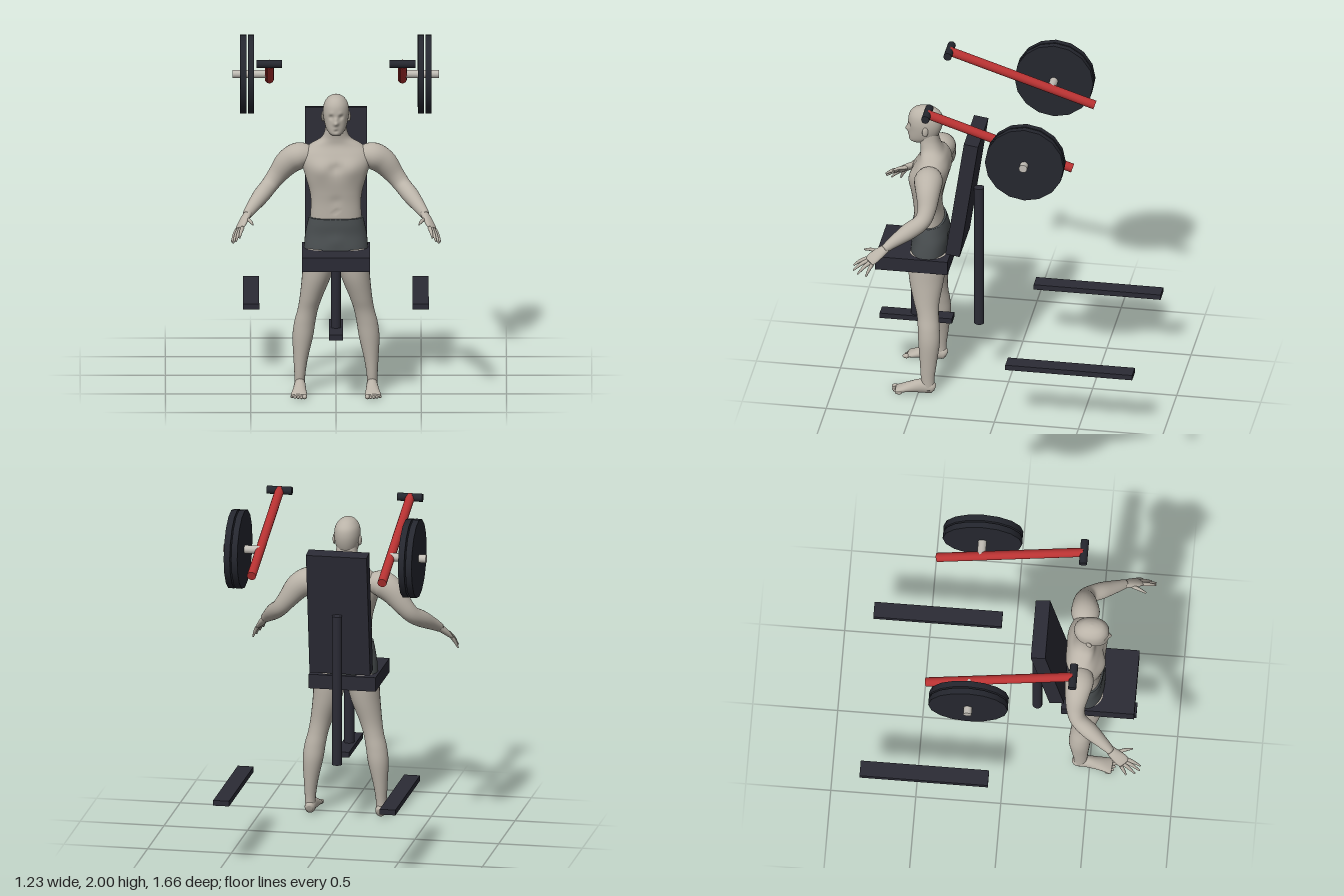
import * as THREE from 'three';

const mat = (name, color, side = THREE.FrontSide) => {
  const m = new THREE.MeshStandardMaterial({ color, side });
  m.name = name;
  return m;
};
const V = (x, y, z) => new THREE.Vector3(x, y, z);

// Catmull-Rom blend of whole rows of numbers
function smoothRows(rows, steps) {
  const out = [], last = rows.length - 1;
  for (let i = 0; i < last; i++) {
    const [a, b, c, d] = [rows[Math.max(i - 1, 0)], rows[i], rows[i + 1], rows[Math.min(i + 2, last)]];
    for (let s = 0; s < steps; s++) {
      const t = s / steps;
      out.push(b.map((p, k) => p + 0.5 * t * (c[k] - a[k]
        + t * (2 * a[k] - 5 * p + 4 * c[k] - d[k] + t * (3 * (p - c[k]) + d[k] - a[k])))));
    }
  }
  out.push(rows[last]);
  return out;
}

// Closed skin over rings of { c: centre, u, v: half-axis vectors }
function skin(rings, sides, power = 2) {
  const pos = [], idx = [], n = rings.length;
  const soft = (w) => Math.sign(w) * Math.abs(w) ** (2 / power);
  for (const { c, u, v } of rings) {
    for (let j = 0; j < sides; j++) {
      const a = (j / sides) * Math.PI * 2;
      const p = c.clone().addScaledVector(u, soft(Math.cos(a))).addScaledVector(v, soft(Math.sin(a)));
      pos.push(p.x, p.y, p.z);
    }
  }
  for (const r of [rings[0], rings[n - 1]]) pos.push(r.c.x, r.c.y, r.c.z);
  for (let j = 0; j < sides; j++) {
    const k = (j + 1) % sides, top = (n - 1) * sides;
    for (let i = 0; i < n - 1; i++) {
      const a = i * sides + j, b = i * sides + k;
      idx.push(a, a + sides, b, b, a + sides, b + sides);
    }
    idx.push(n * sides, j, k, n * sides + 1, top + k, top + j);
  }
  const g = new THREE.BufferGeometry();
  g.setAttribute('position', new THREE.Float32BufferAttribute(pos, 3));
  g.setIndex(idx);
  g.computeVertexNormals();
  return g;
}

// Level sections, bottom to top: [y, centre x, half width, back z, front z]
const stack = (rows, sides, power, steps = 6) => skin(smoothRows(rows, steps).map(
  ([y, x, w, zb, zf]) => ({ c: V(x, y, (zb + zf) / 2), u: V(w, 0, 0), v: V(0, 0, (zf - zb) / 2) })), sides, power);

// Sections across a path: [x, y, z, radius along ref, other radius]
function limb(rows, ref, sides = 20, steps = 5) {
  const pts = smoothRows(rows, steps);
  return skin(pts.map((r, i) => {
    const a = pts[Math.max(i - 1, 0)], b = pts[Math.min(i + 1, pts.length - 1)];
    const t = V(b[0] - a[0], b[1] - a[1], b[2] - a[2]).normalize();
    const u = ref.clone().addScaledVector(t, -ref.dot(t)).normalize();
    const v = u.clone().cross(t);
    return { c: V(r[0], r[1], r[2]), u: u.multiplyScalar(r[3]), v: v.multiplyScalar(r[4]) };
  }), sides);
}

// Soft mirrored dents and swellings along z: [x, y, z, radius, amount]
function sculpt(g, bumps) {
  const p = g.attributes.position;
  for (let i = 0; i < p.count; i++) {
    let dz = 0;
    for (const [x, y, z, r, amount] of bumps) {
      const d = (Math.abs(p.getX(i)) - x) ** 2 + (p.getY(i) - y) ** 2 + (p.getZ(i) - z) ** 2;
      dz += amount * Math.exp(-d / (r * r));
    }
    p.setZ(i, p.getZ(i) + dz);
  }
  g.computeVertexNormals();
  return g;
}

export function createModel() {
  const model = new THREE.Group();
  const pad = mat('dark upholstery', 0x2b2b35), iron = mat('black iron', 0x25272f);
  const red = mat('red paint', 0xb83232), steel = mat('pale steel', 0xc2beb6);
  const skinTone = mat('grey skin', 0xbab3a8), cloth = mat('grey cloth', 0x4b5052);

  const add = (name, g, m, parent = model) => {
    const mesh = new THREE.Mesh(g, m);
    mesh.name = name;
    parent.add(mesh);
    return mesh;
  };
  const box = (name, m, w, h, d, x, y, z) => {
    const b = add(name, new THREE.BoxGeometry(w, h, d), m);
    b.position.set(x, y, z);
    return b;
  };
  const rod = (name, m, a, b, r, sides = 16) => {
    const c = add(name, new THREE.CylinderGeometry(r, r, a.distanceTo(b), sides), m);
    c.position.copy(a).lerp(b, 0.5);
    c.quaternion.setFromUnitVectors(V(0, 1, 0), b.clone().sub(a).normalize());
  };
  const blob = (name, m, parent, x, y, z, a, b, c) => {
    const s = add(name, new THREE.SphereGeometry(1, 16, 12), m, parent);
    s.position.set(x, y, z);
    s.scale.set(a, b, c);
    return s;
  };

  // Seat, backrest and frame
  box('seat', pad, 0.4, 0.085, 0.43, 0, 0.833, 0.545);
  box('backrest', pad, 0.362, 0.752, 0.086, 0, 1.286, 0.248).rotation.x = -0.147;
  rod('seatPost', pad, V(0, 0.39, 0.55), V(0, 0.8, 0.55), 0.03);
  rod('backPost', pad, V(0, 0.38, 0.175), V(0, 1.285, 0.175), 0.03);
  box('seatFoot', pad, 0.084, 0.032, 0.43, 0, 0.396, 0.545);

  // Press arms, handles, pegs, discs and floor rails
  for (const s of [-1, 1]) {
    box('floorRail', pad, 0.095, 0.032, 0.755, s * 0.497, 0.396, -0.45);
    rod('pressArm', red, V(s * 0.39, 1.963, 0.42), V(s * 0.39, 1.681, -0.447), 0.027);
    rod('handle', iron, V(s * 0.315, 1.963, 0.417), V(s * 0.465, 1.963, 0.417), 0.024);
    rod('weightPeg', steel, V(s * 0.39, 1.768, -0.188), V(s * 0.605, 1.768, -0.188), 0.025, 12);
    for (const x of [0.498, 0.543]) {
      rod('weightDisc', iron, V(s * (x - 0.018), 1.768, -0.188), V(s * (x + 0.018), 1.768, -0.188), 0.234);
    }
  }

  // Seated user: torso and neck
  const figure = new THREE.Group();
  figure.name = 'figure';
  model.add(figure);
  add('torso', sculpt(stack([
    [0.98, 0, 0.15, 0.38, 0.55], [1.06, 0, 0.15, 0.385, 0.555], [1.15, 0, 0.147, 0.4, 0.558],
    [1.22, 0, 0.155, 0.39, 0.566], [1.3, 0, 0.178, 0.365, 0.575], [1.38, 0, 0.2, 0.35, 0.57],
    [1.44, 0, 0.2, 0.35, 0.545], [1.49, 0, 0.15, 0.365, 0.522], [1.53, 0, 0.088, 0.39, 0.52],
    [1.58, 0, 0.065, 0.41, 0.527], [1.64, 0, 0.06, 0.42, 0.53]], 56, 2.3), [
    [0.09, 1.36, 0.57, 0.06, 0.015], [0, 1.37, 0.57, 0.03, -0.014], [0, 1.17, 0.56, 0.03, -0.005],
    [0, 1.105, 0.557, 0.01, -0.008], [0, 1.3, 0.36, 0.06, 0.014], [0.1, 1.41, 0.35, 0.06, -0.006]]), skinTone, figure);
  add('shorts', sculpt(stack([
    [0.83, 0, 0.188, 0.36, 0.575], [0.89, 0, 0.187, 0.352, 0.572], [0.96, 0, 0.18, 0.35, 0.563],
    [1.02, 0, 0.168, 0.362, 0.565], [1.062, 0, 0.158, 0.375, 0.564]], 48, 2.4), [
    [0, 0.93, 0.36, 0.04, 0.02], [0, 0.93, 0.57, 0.04, 0.008]]), cloth, figure);

  // Head and ears
  add('head', sculpt(stack([
    [1.565, 0, 0.026, 0.5, 0.572], [1.578, 0, 0.043, 0.46, 0.589], [1.605, 0, 0.059, 0.425, 0.592],
    [1.65, 0, 0.071, 0.402, 0.592], [1.7, 0, 0.076, 0.391, 0.596], [1.745, 0, 0.07, 0.397, 0.59],
    [1.778, 0, 0.05, 0.425, 0.568], [1.794, 0, 0.026, 0.458, 0.535], [1.8, 0, 0.004, 0.49, 0.5]], 64, 2.1, 8), [
    [0, 1.644, 0.594, 0.015, 0.023], [0, 1.668, 0.594, 0.012, 0.009], [0.029, 1.681, 0.588, 0.015, -0.012],
    [0.028, 1.702, 0.59, 0.014, 0.004], [0, 1.613, 0.592, 0.014, 0.006], [0, 1.598, 0.592, 0.01, -0.005]]), skinTone, figure);

  for (const s of [-1, 1]) {
    blob('ear', skinTone, figure, s * 0.077, 1.665, 0.483, 0.009, 0.031, 0.018).rotation.y = s * 0.3;

    // Leg, foot and toes
    add('leg', stack([
      [0.03, 0.213, 0.03, 0.405, 0.475], [0.1, 0.212, 0.032, 0.405, 0.485], [0.2, 0.207, 0.042, 0.392, 0.492],
      [0.33, 0.195, 0.06, 0.376, 0.503], [0.42, 0.183, 0.062, 0.38, 0.508], [0.5, 0.165, 0.06, 0.388, 0.517],
      [0.58, 0.145, 0.067, 0.386, 0.54], [0.7, 0.115, 0.085, 0.367, 0.57], [0.8, 0.1, 0.094, 0.356, 0.578],
      [0.88, 0.095, 0.088, 0.357, 0.568]].map(([y, x, ...r]) => [y, s * x, ...r]), 28, 2), skinTone, figure);
    const mirrored = (rows) => rows.map(([x, ...r]) => [s * x, ...r]);
    add('foot', limb(mirrored([
      [0.21, 0.035, 0.402, 0.016, 0.018], [0.211, 0.04, 0.42, 0.03, 0.037], [0.212, 0.045, 0.48, 0.034, 0.043],
      [0.214, 0.033, 0.55, 0.04, 0.031], [0.217, 0.021, 0.605, 0.047, 0.019], [0.219, 0.016, 0.632, 0.043, 0.012],
    ]), V(1, 0, 0)), skinTone, figure);
    for (let i = 0; i < 5; i++) {
      const r = i ? 0.0095 : 0.014;
      blob('toe', skinTone, figure, s * (0.184 + i * 0.0185), r, 0.64 - i * i * 0.0018, r, r, 0.022);
    }

    // Arm from shoulder to wrist
    add('arm', limb(mirrored([
      [0.14, 1.415, 0.44, 0.06, 0.055], [0.21, 1.42, 0.44, 0.084, 0.078], [0.28, 1.38, 0.432, 0.073, 0.076],
      [0.345, 1.3, 0.428, 0.055, 0.058], [0.393, 1.24, 0.45, 0.049, 0.05], [0.44, 1.195, 0.52, 0.05, 0.049],
      [0.49, 1.145, 0.6, 0.035, 0.037], [0.523, 1.11, 0.65, 0.024, 0.027]]), V(0, 0, 1), 24), skinTone, figure);

    // Hand
    const across = V(-s * 0.04, 0.02, 0.05);
    add('palm', limb(mirrored([
      [0.515, 1.118, 0.638, 0.026, 0.022], [0.535, 1.092, 0.673, 0.034, 0.02],
      [0.555, 1.062, 0.712, 0.039, 0.016], [0.568, 1.043, 0.732, 0.034, 0.011]]), across), skinTone, figure);
    const fingers = [
      [[0.548, 1.055, 0.75], [0.566, 1.01, 0.826]], [[0.56, 1.047, 0.742], [0.587, 0.988, 0.824]],
      [[0.572, 1.04, 0.728], [0.602, 0.972, 0.797]], [[0.582, 1.035, 0.712], [0.612, 0.967, 0.745]],
      [[0.518, 1.09, 0.69], [0.487, 1.078, 0.775]]];
    fingers.forEach(([a, b], i) => {
      const mid = a.map((p, k) => (p + b[k]) / 2 + (k === 1 ? 0.006 : 0));
      add(i < 4 ? 'finger' : 'thumb', limb(mirrored([
        [...a, 0.0115, 0.0115], [...mid, 0.01, 0.01], [...b, 0.005, 0.005]]), across, 10), skinTone, figure);
    });
  }
  return model;
}
